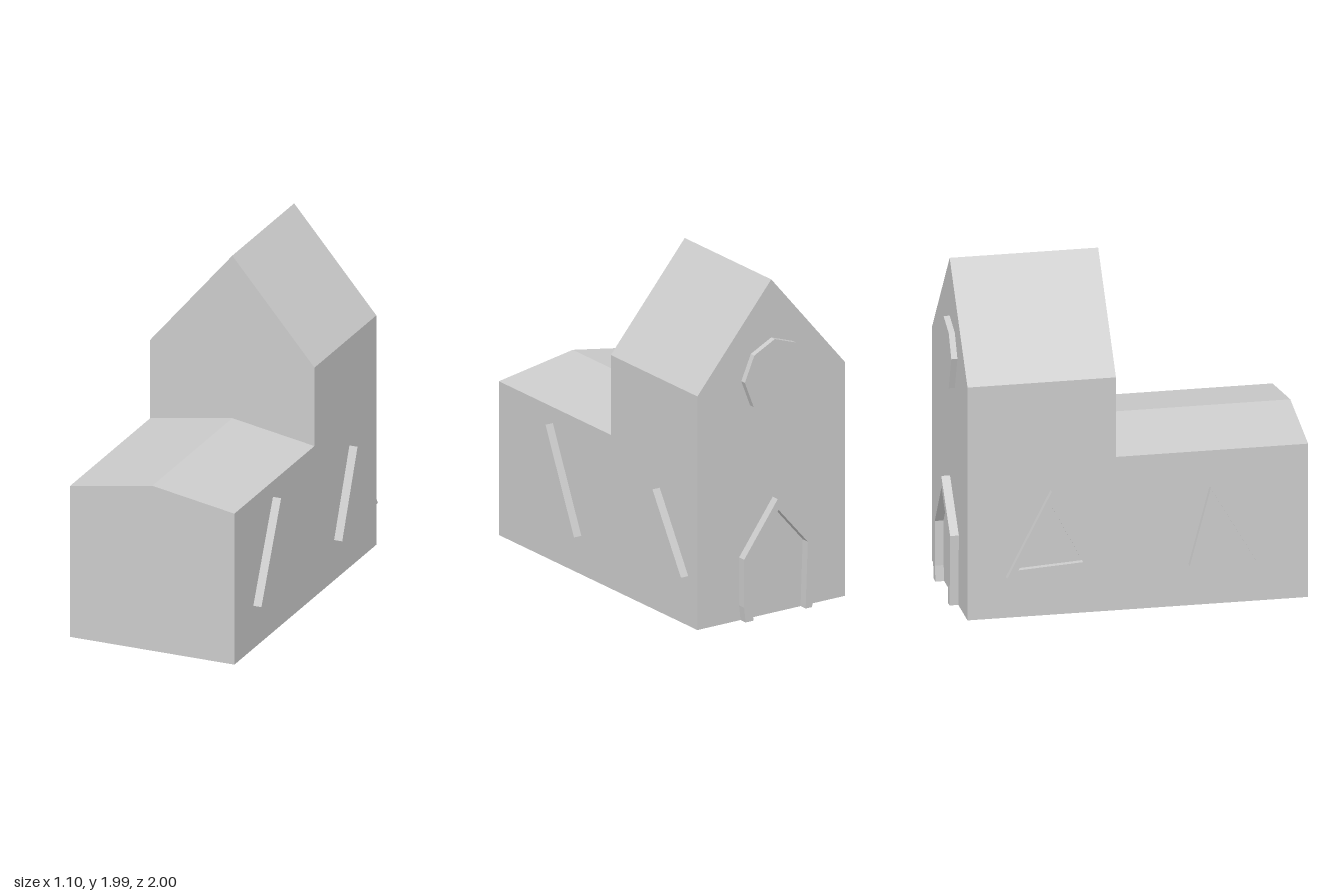
import * as THREE from 'three';

const material = new THREE.MeshStandardMaterial({ color: 0xcccccc, flatShading: true });
const points = (list) => list.map(([x, y]) => new THREE.Vector2(x, y));

// Inner outline made by shrinking the outer one about its middle
function shrink(list, k) {
  const cx = list.reduce((s, p) => s + p[0], 0) / list.length;
  const cy = list.reduce((s, p) => s + p[1], 0) / list.length;
  return list.map(([x, y]) => [cx + (x - cx) * k, cy + (y - cy) * k]);
}

function extrude(outer, depth, inner) {
  const shape = new THREE.Shape(points(outer));
  if (inner) shape.holes.push(new THREE.Path(points(inner)));
  return new THREE.ExtrudeGeometry(shape, { depth, bevelEnabled: false });
}

function part(name, geometry) {
  const mesh = new THREE.Mesh(geometry, material);
  mesh.name = name;
  return mesh;
}

export function createModel() {
  const group = new THREE.Group();
  const left = 0.495, right = -0.515, ridge = -0.01, back = -0.95;

  // Gabled blocks: low hall in front, tall tower behind
  const gable = (eaves, top) => [[right, 0], [left, 0], [left, eaves], [ridge, top], [right, eaves]];
  group.add(part('hall', extrude(gable(0.915, 1.0), 1.1).translate(0, 0, -0.1)));
  group.add(part('tower', extrude(gable(1.39, 1.985), 0.85).translate(0, 0, back)));

  // Triangular window frames on the side walls, outlines given as [z, y]
  const sideFrame = (name, x, depth, outer, inner) =>
    group.add(part(name, extrude(outer, depth, inner).rotateY(-Math.PI / 2).translate(x, 0, 0)));

  sideFrame('leftFrontWindowFrame', 0.545, 0.05,
    [[0.47, 0.82], [0.74, 0.26], [0.19, 0.23]],
    [[0.48, 0.74], [0.68, 0.29], [0.29, 0.30]]);
  sideFrame('leftRearWindowFrame', 0.545, 0.05,
    [[-0.58, 0.74], [-0.37, 0.245], [-0.86, 0.295]],
    [[-0.595, 0.68], [-0.45, 0.295], [-0.805, 0.34]]);

  const rightFront = [[0.435, 0.70], [0.705, 0.235], [0.315, 0.245]];
  const rightRear = [[-0.475, 0.745], [-0.73, 0.245], [-0.23, 0.275]];
  sideFrame('rightFrontWindowFrame', right, 0.035, rightFront, shrink(rightFront, 0.74));
  sideFrame('rightRearWindowFrame', right, 0.035, rightRear, shrink(rightRear, 0.74));

  // Eight-sided window frame high on the back wall
  const octagon = [[-0.01, 1.64], [0.13, 1.57], [0.195, 1.42], [0.135, 1.265],
    [0.0, 1.215], [-0.155, 1.26], [-0.23, 1.46], [-0.155, 1.59]];
  group.add(part('roundWindowFrame',
    extrude(octagon, 0.035, shrink(octagon, 0.8)).translate(0, 0, -0.985)));

  // Pointed door frame on the back wall, open at the ground
  const door = [[0.2, 0], [0.21, 0.09], [0.21, 0.375], [-0.02, 0.69], [-0.27, 0.42], [-0.255, 0],
    [-0.21, 0], [-0.225, 0.395], [-0.025, 0.625], [0.165, 0.355], [0.16, 0.09], [0.145, 0]];
  group.add(part('doorFrame', extrude(door, 0.05).translate(0, 0, -1)));

  return group;
}
